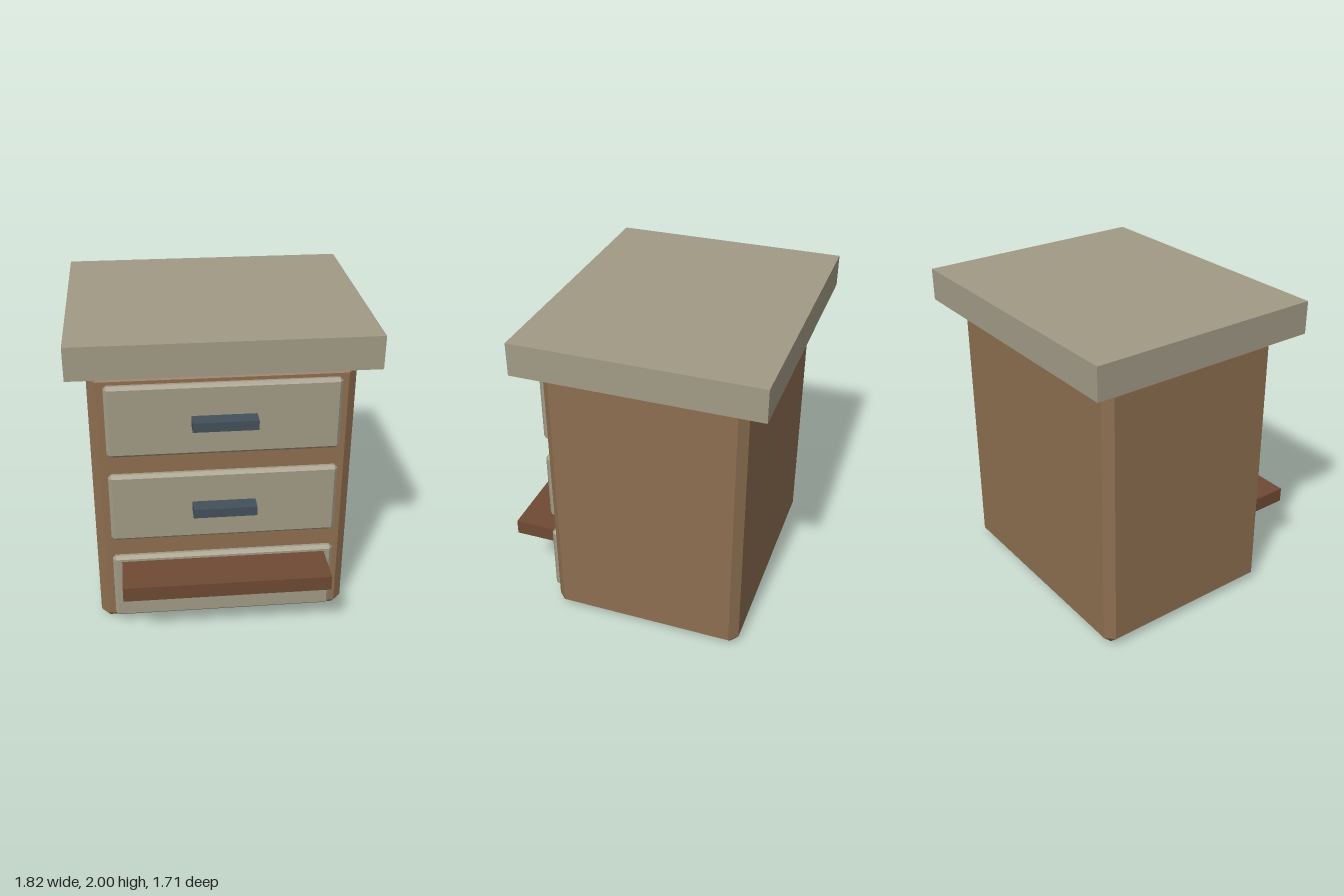
import * as THREE from 'three';
import { ConvexGeometry } from 'three/addons/geometries/ConvexGeometry.js';

const material = (color) => new THREE.MeshStandardMaterial({ color, flatShading: true });

// Box with every edge cut by a flat chamfer c
function chamferBox(w, h, d, c) {
  const points = [];
  for (const sx of [-1, 1]) for (const sy of [-1, 1]) for (const sz of [-1, 1]) {
    const x = w / 2, y = h / 2, z = d / 2;
    points.push(
      new THREE.Vector3(sx * x, sy * (y - c), sz * (z - c)),
      new THREE.Vector3(sx * (x - c), sy * y, sz * (z - c)),
      new THREE.Vector3(sx * (x - c), sy * (y - c), sz * z),
    );
  }
  return new ConvexGeometry(points);
}

export function createModel() {
  const model = new THREE.Group();
  model.name = 'drawerCabinet';
  const wood = material(0x8c6e50);
  const stone = material(0xa19a85);
  const metal = material(0x42505a);
  const darkWood = material(0x6e4a34);

  // Adds a part spanning the given ranges, chamfered when c > 0
  function addPart(parent, name, mat, [x0, x1], [y0, y1], [z0, z1], c = 0) {
    const size = [x1 - x0, y1 - y0, z1 - z0];
    const geometry = c > 0 ? chamferBox(...size, c) : new THREE.BoxGeometry(...size);
    const mesh = new THREE.Mesh(geometry, mat);
    mesh.name = name;
    mesh.position.set((x0 + x1) / 2, (y0 + y1) / 2, (z0 + z1) / 2);
    parent.add(mesh);
  }

  // Cabinet body and the overhanging top, set just above it
  addPart(model, 'body', wood, [-0.798, 0.798], [0, 1.775], [-0.72, 0.52], 0.053);
  addPart(model, 'countertop', stone, [-0.91, 0.91], [1.795, 2], [-0.855, 0.65]);

  // Three drawers, each a chamfered front with a bar handle
  [0.065, 0.655, 1.245].forEach((y, i) => {
    const drawer = new THREE.Group();
    drawer.name = `drawer${i + 1}`;
    addPart(drawer, 'drawerFront', stone, [-0.702, 0.702], [y, y + 0.465], [0.52, 0.577], 0.02);
    addPart(drawer, 'handle', metal, [-0.195, 0.195], [y + 0.205, y + 0.265], [0.575, 0.675]);
    model.add(drawer);
  });

  // Shelf sticking out of the bottom drawer
  addPart(model, 'shelf', darkWood, [-0.645, 0.645], [0.398, 0.495], [0.56, 0.855]);

  return model;
}
